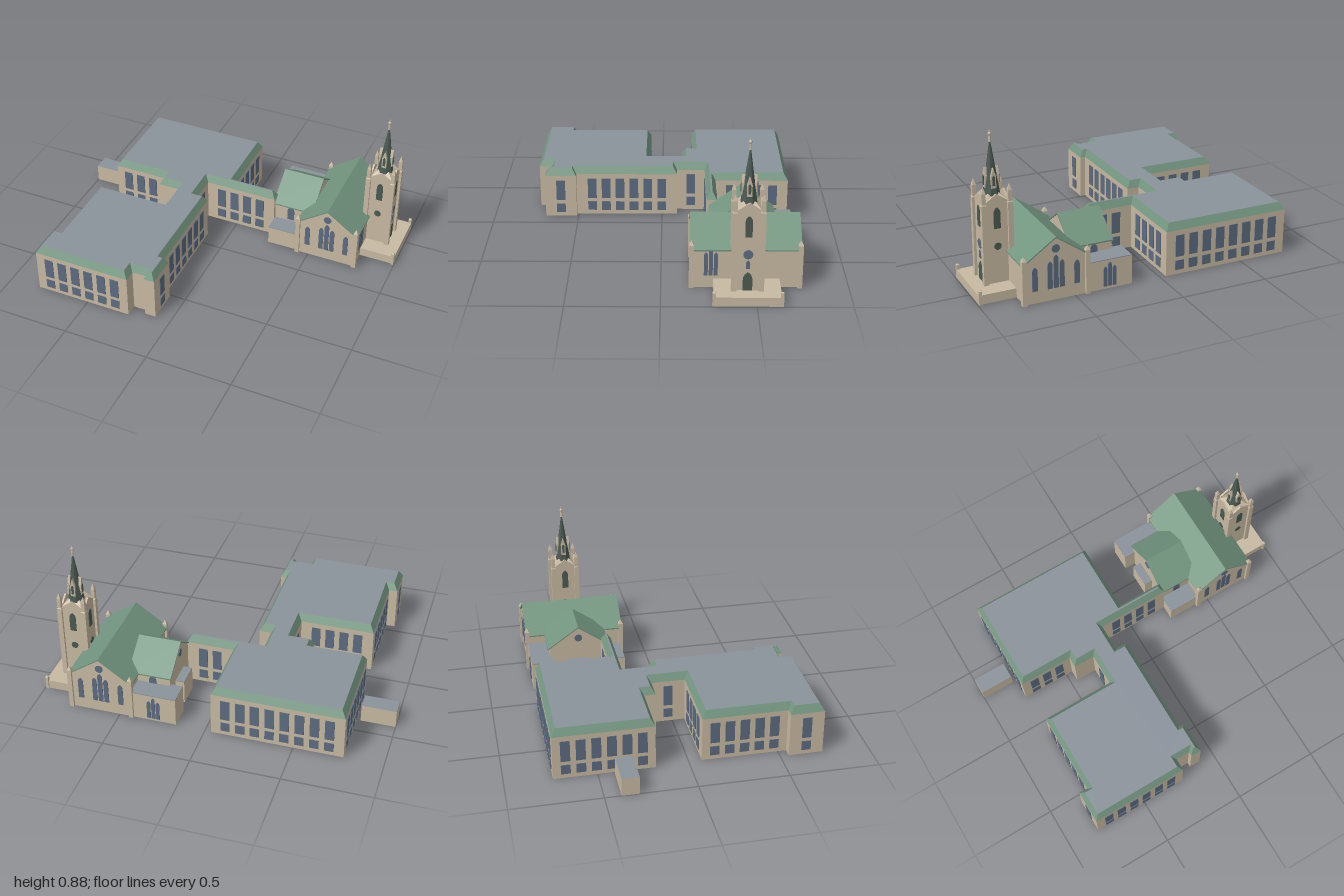
import * as THREE from 'three';

const material = (name, color, extra = {}) => {
  const m = new THREE.MeshStandardMaterial({ color, flatShading: true, ...extra });
  m.name = name;
  return m;
};

export function createModel() {
  const root = new THREE.Group();
  root.name = 'churchAndSchool';
  const both = { side: THREE.DoubleSide };
  const stone = material('stone', 0xc8baa2, both);
  const copper = material('greenRoof', 0x72957f, both);
  const flat = material('flatRoof', 0x8a929b, both);
  const glass = material('glass', 0x5c6c82);
  const dark = material('darkGreen', 0x4b5a52);

  const add = (name, geo, mat, x = 0, y = 0, z = 0, ry = 0, parent = root) => {
    const m = new THREE.Mesh(geo, mat);
    m.name = name;
    m.position.set(x, y, z);
    m.rotation.y = ry;
    parent.add(m);
    return m;
  };
  // box given by its ranges
  const block = (name, mat, x0, x1, y0, y1, z0, z1) =>
    add(name, new THREE.BoxGeometry(x1 - x0, y1 - y0, z1 - z0), mat, (x0 + x1) / 2, (y0 + y1) / 2, (z0 + z1) / 2);
  const polygon = (pts) => new THREE.Shape(pts.map(([x, y]) => new THREE.Vector2(x, y)));
  const extrude = (shape, depth) => new THREE.ExtrudeGeometry(shape, { depth, bevelEnabled: false, curveSegments: 6 });

  // thin wall panes; ry turns the outward normal away from +z
  const pane = (name, shape, mat, x, y, z, ry) => add(name, extrude(shape, 0.004), mat, x, y, z, ry);
  const rect = (w, h) => polygon([[-w / 2, 0], [w / 2, 0], [w / 2, h], [-w / 2, h]]);
  const arch = (w, h) => {
    const s = new THREE.Shape(), r = w / 2, k = h - w * 0.85;
    s.moveTo(-r, 0);
    s.lineTo(r, 0);
    s.lineTo(r, k);
    s.quadraticCurveTo(r, k + w * 0.5, 0, h);
    s.quadraticCurveTo(-r, k + w * 0.5, -r, k);
    return s;
  };
  const disc = (r) => new THREE.Shape().absarc(0, 0, r, 0, Math.PI * 2);
  const tripleLancet = (x, y, z, ry, w, hSide, hMid) => {
    for (const i of [-1, 0, 1]) {
      pane('lancetWindow', arch(w, i ? hSide : hMid), glass,
        x + Math.cos(ry) * i * w * 1.25, y, z - Math.sin(ry) * i * w * 1.25, ry);
    }
  };

  // open ring of quads between two outlines
  const band = (lo, hi, y0, y1) => {
    const v = [];
    lo.forEach((a, i) => {
      const j = (i + 1) % lo.length, b = lo[j], c = hi[j], d = hi[i];
      const A = [a[0], y0, a[1]], B = [b[0], y0, b[1]], C = [c[0], y1, c[1]], D = [d[0], y1, d[1]];
      v.push(...B, ...A, ...D, ...B, ...D, ...C);
    });
    const g = new THREE.BufferGeometry();
    g.setAttribute('position', new THREE.Float32BufferAttribute(v, 3));
    g.computeVertexNormals();
    return g;
  };
  const lid = (pts) => new THREE.ShapeGeometry(polygon(pts.map(([x, z]) => [x, -z]))).rotateX(-Math.PI / 2);

  // ---- School: outline in x, z ----
  const plan = [
    [-0.78, -0.74], [-0.035, -0.74], [-0.035, -0.315], [0.24, -0.315], [0.24, -0.255], [-0.195, -0.255],
    [-0.195, -0.09], [-0.125, -0.09], [-0.125, 0.51], [-0.093, 0.51], [-0.093, 0.695], [-0.157, 0.695],
    [-0.157, 0.668], [-0.24, 0.668], [-0.24, 0.74], [-0.815, 0.74], [-0.815, 0.548], [-0.765, 0.548],
    [-0.765, 0.072], [-0.335, 0.072], [-0.335, -0.12], [-0.46, -0.12], [-0.46, -0.185], [-0.78, -0.185],
  ];
  const n = plan.length, eave = 0.258, top = 0.3;
  const normals = plan.map((p, i) => {
    const q = plan[(i + 1) % n], L = Math.hypot(q[0] - p[0], q[1] - p[1]);
    return [(q[1] - p[1]) / L, -(q[0] - p[0]) / L];
  });
  const inner = plan.map((p, i) => {
    const a = normals[(i + n - 1) % n], b = normals[i];
    return [p[0] - 0.025 * (a[0] + b[0]), p[1] - 0.025 * (a[1] + b[1])];
  });
  add('schoolWalls', band(plan, plan, 0, eave), stone);
  add('schoolRoofSlopes', band(plan, inner, eave, top), copper);
  add('schoolFlatRoof', lid(inner), flat, 0, top);
  // two rows of windows spread evenly along every long enough wall
  plan.forEach((p, i) => {
    const q = plan[(i + 1) % n], [nx, nz] = normals[i];
    const L = Math.hypot(q[0] - p[0], q[1] - p[1]), count = Math.floor((L - 0.05) / 0.083);
    for (let k = 0; k < count; k++) {
      const t = 0.5 + ((k - (count - 1) / 2) * 0.083) / L;
      const x = p[0] + (q[0] - p[0]) * t, z = p[1] + (q[1] - p[1]) * t, ry = Math.atan2(nx, nz);
      pane('upperWindow', rect(0.052, 0.125), glass, x, 0.104, z, ry);
      pane('lowerWindow', rect(0.052, 0.055), glass, x, 0.026, z, ry);
    }
  });

  // detached shed
  const shed = [[-1, -0.41], [-0.803, -0.41], [-0.803, -0.313], [-1, -0.313]];
  add('shedWalls', band(shed, shed, 0, 0.105), stone);
  add('shedRoof', lid(shed), flat, 0, 0.105);

  // ---- Church halls: gabled bodies with thin roofs ----
  const hall = (name, half, eaveY, apexY, len, over, x, z, ry) => {
    const g = new THREE.Group();
    g.name = name;
    g.position.set(x, 0, z);
    g.rotation.y = ry;
    root.add(g);
    const body = polygon([[-half, 0], [half, 0], [half, eaveY], [0, apexY], [-half, eaveY]]);
    add(name + 'Walls', extrude(body, len), stone, 0, 0, -len / 2, 0, g);
    const s = (apexY - eaveY) / half, w = half + 0.012, e = apexY - s * w, t = 0.008;
    const roof = polygon([[-w, e], [0, apexY], [w, e], [w, e + t], [0, apexY + t], [-w, e + t]]);
    add(name + 'Roof', extrude(roof, len + over * 2), copper, 0, 0, -len / 2 - over, 0, g);
  };
  hall('nave', 0.178, 0.226, 0.35, 0.575, 0.008, 0.608, -0.45, 0);
  hall('transept', 0.172, 0.226, 0.347, 0.232, 0.008, 0.354, -0.45, Math.PI / 2);

  // gable windows, front and back
  for (const s of [1, -1]) {
    const z = -0.45 + s * 0.2875, ry = s > 0 ? 0 : Math.PI;
    pane('roseWindow', disc(0.023), glass, 0.608, 0.29, z, ry);
    tripleLancet(0.608, 0.068, z, ry, 0.027, 0.155, 0.188);
    for (const x of [0.49, 0.726]) pane('lancetWindow', arch(0.03, 0.135), glass, x, 0.07, z, ry);
    // transept side windows
    pane('transeptWindow', arch(0.042, 0.095), glass, 0.34, 0.126, -0.45 + s * 0.172, ry);
  }
  pane('transeptRose', disc(0.023), glass, 0.238, 0.28, -0.45, -Math.PI / 2);
  tripleLancet(0.786, 0.07, -0.265, Math.PI / 2, 0.021, 0.135, 0.16);

  // corner buttresses with pointed caps
  const pinnacle = (name, x, z, w, y0, y1, cap) => {
    block(name, stone, x - w / 2, x + w / 2, y0, y1, z - w / 2, z + w / 2);
    add(name + 'Cap', new THREE.ConeGeometry(w * 0.72, cap, 4).rotateY(Math.PI / 4), stone, x, y1 + cap / 2, z);
  };
  for (const x of [0.43, 0.786]) for (const z of [-0.738, -0.162]) pinnacle('naveButtress', x, z, 0.026, 0, 0.25, 0.026);

  // flat-roofed annexes
  const annex = (x0, x1, z0, z1, h) => {
    block('annexWalls', stone, x0, x1, 0, h, z0, z1);
    block('annexRoof', flat, x0, x1, h, h + 0.004, z0, z1);
  };
  annex(0.24, 0.432, -0.28, -0.17, 0.112);
  annex(0.17, 0.432, -0.737, -0.605, 0.165);
  annex(0.187, 0.24, -0.535, -0.395, 0.14);
  tripleLancet(0.3, 0.015, -0.737, Math.PI, 0.021, 0.115, 0.138);

  // terrace with gate posts
  block('terrace', stone, 0.78, 0.995, 0, 0.052, -0.63, -0.277);
  for (const z of [-0.63, -0.277]) pinnacle('gatePost', 0.987, z, 0.017, 0, 0.078, 0.006);

  // ---- Tower ----
  const tx = 0.843, tz = -0.452, r = 0.072;
  block('towerShaft', stone, tx - r, tx + r, 0, 0.5, tz - r, tz + r);
  for (const i of [-1, 1]) for (const k of [-1, 1]) {
    pinnacle('towerButtress', tx + i * r, tz + k * r, 0.028, 0, 0.5, 0.02);
    pinnacle('towerPinnacle', tx + i * r, tz + k * r, 0.022, 0.5, 0.565, 0.036);
  }
  add('towerRoof', new THREE.ConeGeometry(r * 1.41, 0.07, 4).rotateY(Math.PI / 4), stone, tx, 0.535, tz);
  add('spire', new THREE.ConeGeometry(0.05, 0.34, 8).rotateY(Math.PI / 8), dark, tx, 0.67, tz);
  add('finialStem', new THREE.CylinderGeometry(0.005, 0.007, 0.05, 6), stone, tx, 0.838, tz);
  add('finialKnob', new THREE.SphereGeometry(0.01, 8, 6), stone, tx, 0.856, tz);
  add('finialTip', new THREE.ConeGeometry(0.006, 0.022, 6), stone, tx, 0.872, tz);

  // each tower side: gable, louvre, and a dormer on the spire
  for (let i = 0; i < 4; i++) {
    const ry = (i * Math.PI) / 2, s = Math.sin(ry), c = Math.cos(ry);
    const on = (d) => [tx + s * d, tz + c * d];
    const [gx, gz] = on(r - 0.01);
    add('towerGable', extrude(polygon([[-r, 0.5], [r, 0.5], [0, 0.55]]), 0.01), stone, gx, 0, gz, ry);
    const [wx, wz] = on(r);
    pane('belfryLouvre', arch(0.037, 0.118), dark, wx, 0.36, wz, ry);
    if (i !== 1) pane('towerRoundel', disc(0.02), dark, wx, 0.26, wz, ry);
    const [dx, dz] = on(0.01);
    const front = polygon([[-0.014, 0.57], [0.014, 0.57], [0.014, 0.635], [0, 0.68], [-0.014, 0.635]]);
    add('spireDormer', extrude(front, 0.03), stone, dx, 0, dz, ry);
    const [lx, lz] = on(0.04);
    pane('dormerLouvre', arch(0.014, 0.055), dark, lx, 0.585, lz, ry);
  }
  // entrance side
  const ex = tx + r, q = Math.PI / 2;
  pane('entranceRose', disc(0.026), glass, ex, 0.26, tz, q);
  pane('entranceWindow', arch(0.022, 0.048), glass, ex, 0.178, tz, q);
  pane('entranceDoor', arch(0.05, 0.106), dark, ex, 0.052, tz, q);

  return root;
}
